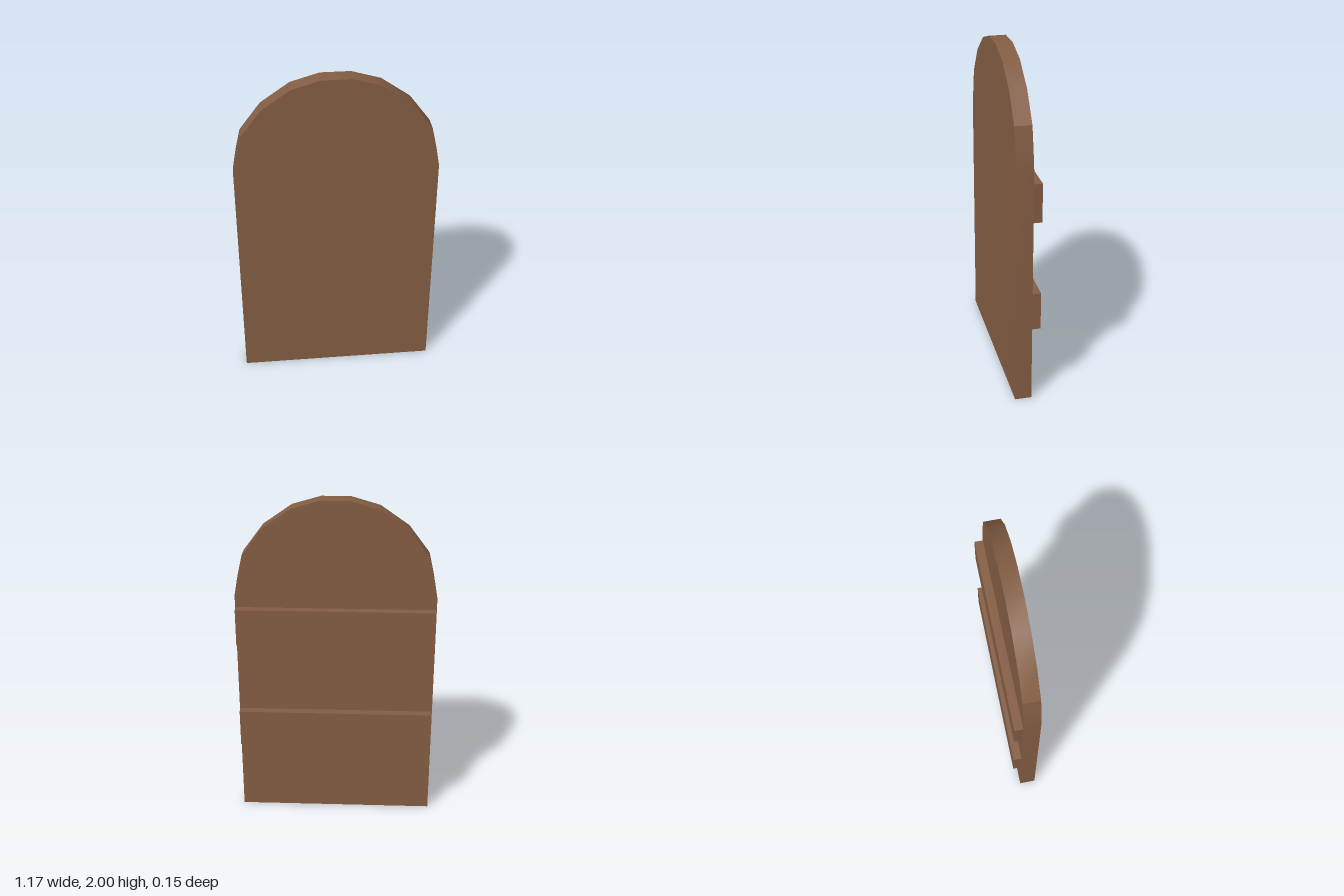
import * as THREE from 'three';
import { toCreasedNormals } from 'three/addons/utils/BufferGeometryUtils.js';

export function createModel() {
  const model = new THREE.Group();
  model.name = 'archedDoor';
  const wood = new THREE.MeshStandardMaterial({ color: 0x845d43 });
  wood.name = 'brownWood';

  // Right half of the arched outline, from the floor to the crown
  const half = [
    [0.587, 0], [0.587, 1.43], [0.564, 1.555], [0.536, 1.675],
    [0.416, 1.835], [0.251, 1.951], [0.085, 2],
  ];
  const outline = [...half, ...half.map(([x, y]) => [-x, y]).reverse()];
  const shape = new THREE.Shape(outline.map(([x, y]) => new THREE.Vector2(x, y)));

  // Door slab, with the rim smooth around the arch
  const slab = new THREE.ExtrudeGeometry(shape, { depth: 0.098, bevelEnabled: false });
  slab.translate(0, 0, -0.024);
  const panel = new THREE.Mesh(toCreasedNormals(slab, 0.4), wood);
  panel.name = 'doorPanel';
  model.add(panel);

  // Two cross battens on the back
  const battens = [['lowerBatten', 0.575], ['upperBatten', 1.243]];
  for (const [name, y] of battens) {
    const batten = new THREE.Mesh(new THREE.BoxGeometry(1.166, 0.228, 0.05), wood);
    batten.name = name;
    batten.position.set(0, y, -0.049);
    model.add(batten);
  }
  return model;
}
